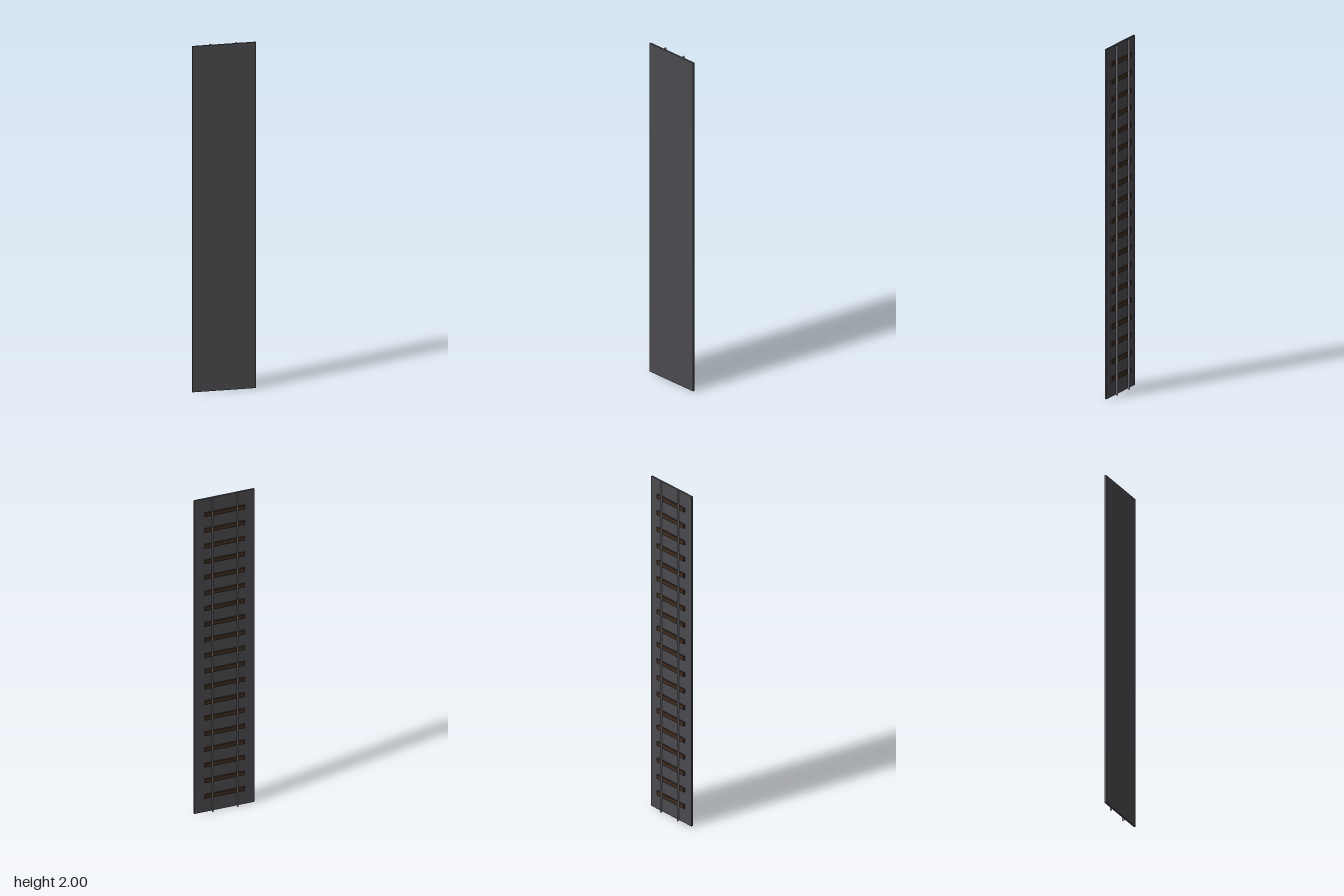
import * as THREE from 'three';

export function createModel() {
  const model = new THREE.Group();
  model.name = 'railwayTrack';

  const bedMat = new THREE.MeshStandardMaterial({ color: 0x4a4a4f });
  const sleeperMat = new THREE.MeshStandardMaterial({ color: 0x3d2b1f });
  const railMat = new THREE.MeshStandardMaterial({ color: 0x9a9aa2 });

  const addBox = (name, w, h, d, x, y, z, material) => {
    const mesh = new THREE.Mesh(new THREE.BoxGeometry(w, h, d), material);
    mesh.name = name;
    mesh.position.set(x, y, z);
    model.add(mesh);
  };

  // Flat track bed standing on end
  addBox('trackBed', 0.36, 2, 0.01, 0, 1, 0.009, bedMat);

  // Evenly spaced sleepers on the back of the bed
  for (let i = 1; i <= 19; i++) {
    addBox(`sleeper${i}`, 0.24, 0.025, 0.008, 0, i * 0.1, 0, sleeperMat);
  }

  // Two rails resting on the sleepers
  for (const side of [-1, 1]) {
    addBox(side > 0 ? 'leftRail' : 'rightRail', 0.007, 2, 0.01, side * 0.075, 1, -0.009, railMat);
  }

  return model;
}
